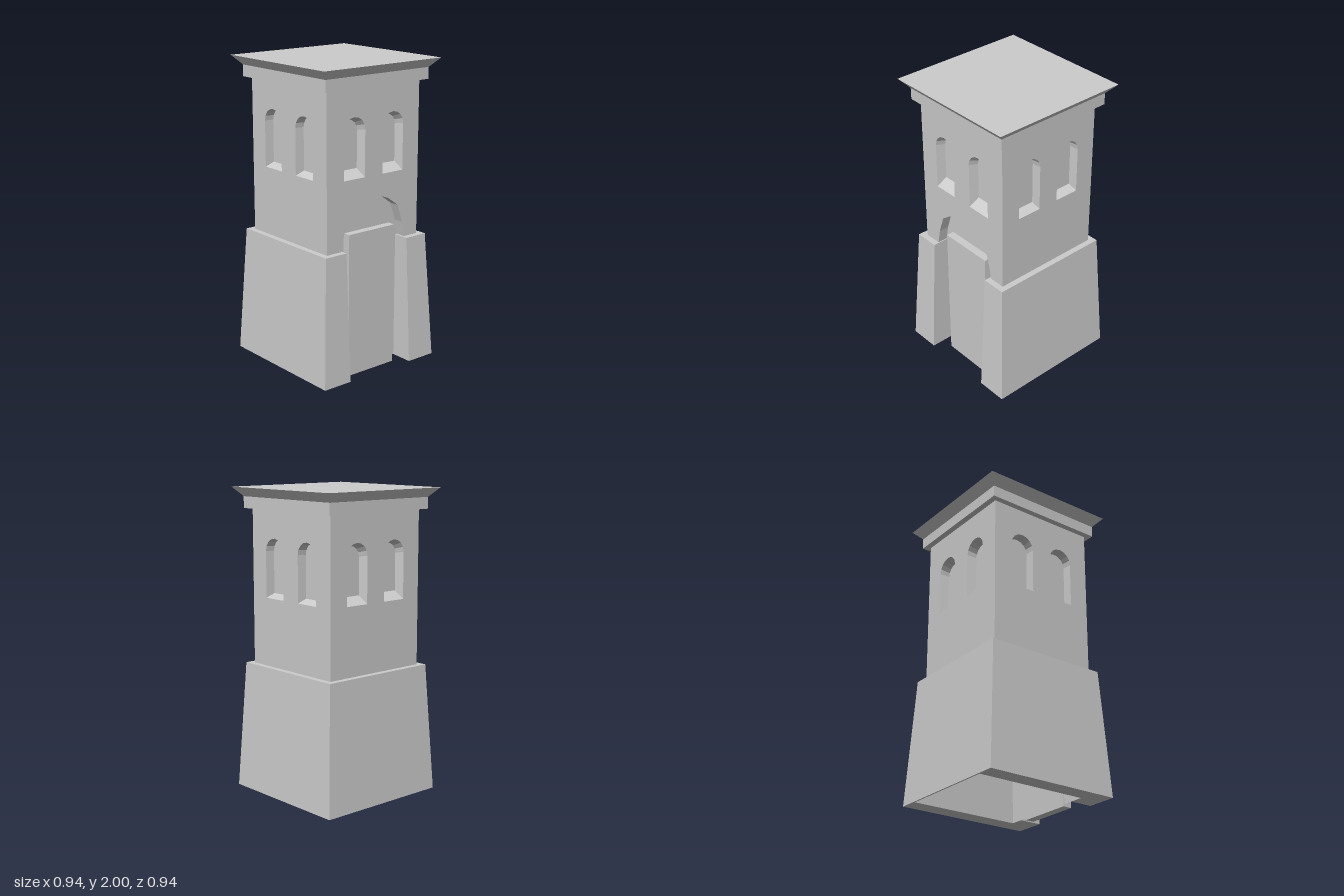
import * as THREE from 'three';

const stone = new THREE.MeshStandardMaterial({ color: 0xcccccc, flatShading: true, side: THREE.DoubleSide });
const HALF = 0.375;            // tower half width
const LEDGE = 0.855, EAVES = 1.865;
const RECESS_Z = 0.307;        // back of the entrance recess

function add(parent, name, geometry, x = 0, y = 0, z = 0) {
  const mesh = new THREE.Mesh(geometry, stone);
  mesh.name = name;
  mesh.position.set(x, y, z);
  parent.add(mesh);
  return mesh;
}

const toShape = (points) => new THREE.Shape(points.map(([x, y]) => new THREE.Vector2(x, y)));

// Strip of quads joining two outlines at different depths
function reveal(outer, inner, zOuter, zInner, closed) {
  const pos = [];
  const n = outer.length;
  for (let i = 0; i < (closed ? n : n - 1); i++) {
    const j = (i + 1) % n;
    const a = [...outer[i], zOuter], b = [...outer[j], zOuter];
    const c = [...inner[j], zInner], d = [...inner[i], zInner];
    pos.push(...a, ...b, ...c, ...a, ...c, ...d);
  }
  const g = new THREE.BufferGeometry();
  g.setAttribute('position', new THREE.Float32BufferAttribute(pos, 3));
  g.computeVertexNormals();
  return g;
}

// Round-headed window outline, counter-clockwise
function windowOutline(cx) {
  const r = 0.085, points = [[cx - r, 1.3], [cx + r, 1.3]];
  for (let i = 0; i <= 8; i++) {
    const a = (i / 8) * Math.PI;
    points.push([cx + r * Math.cos(a), 1.6 + r * Math.sin(a)]);
  }
  return points;
}

// Entrance arch from left foot over the crown to right foot
function archOutline() {
  const half = [[0.262, LEDGE], [0.243, 0.955], [0.203, 1.075], [0.12, 1.135], [0.024, 1.17]];
  return [...half.map(([x, y]) => [0.004 - x, y]), ...half.reverse().map(([x, y]) => [0.004 + x, y])];
}

// One tower face with two recessed windows
function towerWall(name, { taper, sill, drop, arch }) {
  const wall = new THREE.Group();
  wall.name = name;
  const shape = toShape([
    [-HALF, LEDGE], ...(arch ?? []), [HALF, LEDGE], [HALF, EAVES], [-HALF, EAVES],
  ]);
  for (const cx of [-0.157, 0.157]) {
    const outer = windowOutline(cx);
    const inner = outer.map(([x, y]) => [
      cx + (x - cx) * taper,
      THREE.MathUtils.mapLinear(y, 1.3, 1.685, 1.3 + sill, 1.685 - drop),
    ]);
    shape.holes.push(new THREE.Path(outer.map(([x, y]) => new THREE.Vector2(x, y))));
    add(wall, 'windowReveal', reveal(outer, inner, HALF, HALF - 0.06, true));
    add(wall, 'windowPanel', new THREE.ShapeGeometry(toShape(inner)), 0, 0, HALF - 0.06);
  }
  add(wall, 'wallFace', new THREE.ShapeGeometry(shape), 0, 0, HALF);
  return wall;
}

// Flared hollow base, open at the entrance
function baseGeometry() {
  const o = 0.46, jamb = 0.252, inner = 0.34;
  const g = new THREE.ExtrudeGeometry(toShape([
    [-o, -o], [-jamb, -o], [-jamb, -RECESS_Z], [-inner, -RECESS_Z], [-inner, 0.45],
    [inner, 0.45], [inner, -RECESS_Z], [jamb, -RECESS_Z], [jamb, -o], [o, -o], [o, o], [-o, o],
  ]), { depth: LEDGE - 0.015, bevelEnabled: false });
  g.rotateX(-Math.PI / 2).translate(0, 0.015, 0);
  const p = g.attributes.position;
  const pull = (v) => (Math.abs(v) > 0.44 ? v - Math.sign(v) * 0.045 : v);
  for (let i = 0; i < p.count; i++) {
    if (p.getY(i) > 0.5) p.setXYZ(i, pull(p.getX(i)), p.getY(i), pull(p.getZ(i)));
  }
  g.computeVertexNormals();
  return g;
}

export function createModel() {
  const tower = new THREE.Group();
  tower.name = 'tower';

  // Base and the floor that closes its hollow
  add(tower, 'flaredBase', baseGeometry());
  add(tower, 'upperFloor', new THREE.BoxGeometry(0.69, 0.01, 0.715), 0, 0.849, -0.0525);

  // Four walls, the front one cut by the entrance arch
  const arch = archOutline();
  for (let i = 0; i < 4; i++) {
    const facing = i % 2 === 0
      ? { taper: 0.82, sill: 0.05, drop: 0.025 }
      : { taper: 0.93, sill: 0.025, drop: 0.008 };
    if (i === 0) facing.arch = arch;
    const wall = towerWall(['frontWall', 'leftWall', 'backWall', 'rightWall'][i], facing);
    wall.rotation.y = (i * Math.PI) / 2;
    tower.add(wall);
  }

  // Entrance recess and door
  add(tower, 'archReveal', reveal(arch, arch, HALF, RECESS_Z, false));
  add(tower, 'recessWall', new THREE.ShapeGeometry(
    toShape([[-0.252, 0.015], [0.252, 0.015], ...[...arch].reverse()])), 0, 0, RECESS_Z);
  add(tower, 'door', new THREE.BoxGeometry(0.376, 0.945, 0.06), 0.004, 0.4725, 0.33);

  // Cornice and flat flared roof
  add(tower, 'cornice', new THREE.BoxGeometry(0.83, 0.075, 0.83), 0, 1.9025, 0);
  const roof = new THREE.CylinderGeometry(0.47 * Math.SQRT2, 0.415 * Math.SQRT2, 0.06, 4);
  add(tower, 'roof', roof.rotateY(Math.PI / 4), 0, 1.97, 0);

  return tower;
}
